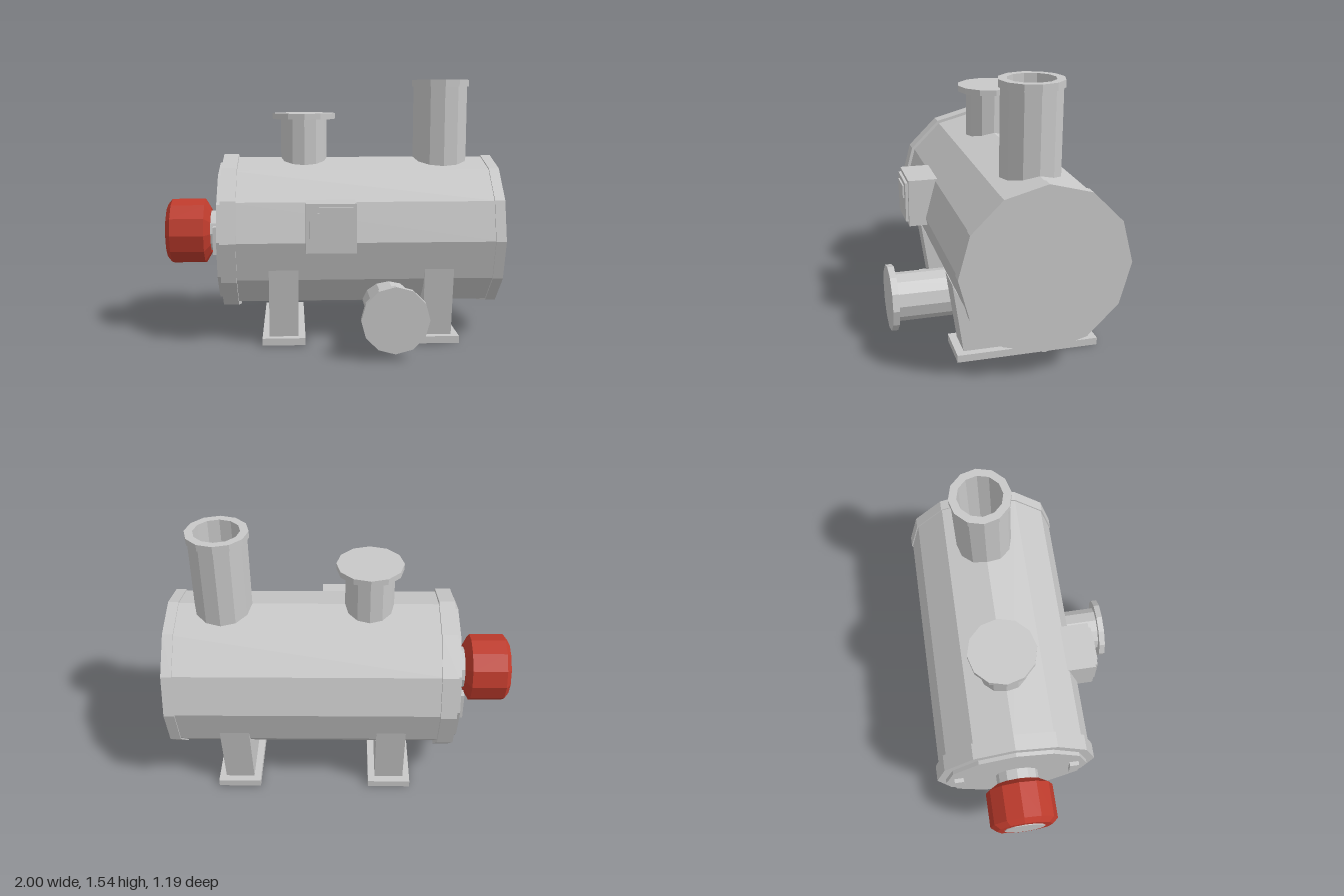
import * as THREE from 'three';

const CY = 0.615, CZ = -0.12, SIDES = 12;

export function createModel() {
  const model = new THREE.Group();
  model.name = 'boiler';
  const grey = new THREE.MeshStandardMaterial({ color: 0xc8c8c8, flatShading: true });
  grey.name = 'light grey';
  const red = new THREE.MeshStandardMaterial({ color: 0xbe3b2c, flatShading: true });
  red.name = 'burner red';

  const add = (name, geometry, material = grey) => {
    const mesh = new THREE.Mesh(geometry, material);
    mesh.name = name;
    model.add(mesh);
    return mesh;
  };
  // Box given by its limits on each axis
  const box = (name, x0, x1, y0, y1, z0, z1) =>
    add(name, new THREE.BoxGeometry(x1 - x0, y1 - y0, z1 - z0)
      .translate((x0 + x1) / 2, (y0 + y1) / 2, (z0 + z1) / 2));
  // Cylinders along each axis
  const cylX = (name, r, x0, x1) =>
    add(name, new THREE.CylinderGeometry(r, r, x1 - x0, SIDES)
      .rotateZ(Math.PI / 2).translate((x0 + x1) / 2, CY, CZ));
  const cylY = (name, r, x, y0, y1) =>
    add(name, new THREE.CylinderGeometry(r, r, y1 - y0, SIDES).translate(x, (y0 + y1) / 2, CZ));
  const cylZ = (name, r, x, y, z0, z1) =>
    add(name, new THREE.CylinderGeometry(r, r, z1 - z0, SIDES)
      .rotateX(Math.PI / 2).translate(x, y, (z0 + z1) / 2));
  const lathe = (points) =>
    new THREE.LatheGeometry(points.map(([r, y]) => new THREE.Vector2(r, y)), SIDES);

  // Drum with its end rings and door
  cylX('drum', 0.455, -0.6, 0.97);
  cylX('endRing', 0.463, 0.94, 1);
  cylX('doorFlange', 0.474, -0.645, -0.555);
  cylX('door', 0.423, -0.668, -0.63);
  for (const s of [-1, 1]) {
    const z = CZ + s * 0.342;
    box('doorLatch', -0.692, -0.66, CY - 0.08, CY + 0.08, z - 0.027, z + 0.027);
  }

  // Burner on the door
  cylX('burnerNeck', 0.125, -0.75, -0.66);
  add('burner', lathe([[0, 0.73], [0.14, 0.73], [0.2, 0.765], [0.2, 0.967], [0.165, 0.995], [0, 0.995]])
    .rotateZ(Math.PI / 2).translate(0, CY, CZ), red);
  cylX('burnerCap', 0.12, -1, -0.98);

  // Closed top pipe
  cylY('topPipe', 0.14, -0.157, 0.9, 1.32);
  cylY('topPipeFlange', 0.19, -0.157, 1.305, 1.34);

  // Open chimney with a rim
  add('chimney', lathe([[0.166, 0.9], [0.166, 1.5], [0.176, 1.5], [0.176, 1.54], [0.13, 1.54], [0.13, 0.9]])
    .translate(0.682, 0, CZ));

  // Low front pipe
  cylZ('frontPipe', 0.14, 0.33, 0.23, -0.1, 0.58);
  cylZ('frontPipeFlange', 0.19, 0.33, 0.23, 0.563, 0.6);

  // Saddle supports, cut to the drum's curve, on foot plates
  const saddle = new THREE.Shape();
  const r = 0.453, tip = 0.37;
  saddle.moveTo(-0.36, 0.03);
  saddle.lineTo(0.36, 0.03);
  saddle.absarc(0, CY, r, -tip, -Math.PI + tip, true);
  saddle.closePath();
  for (const x of [-0.285, 0.62]) {
    add('saddleSupport', new THREE.ExtrudeGeometry(saddle, { depth: 0.17, bevelEnabled: false, curveSegments: 16 })
      .translate(0, 0, -0.085).rotateY(Math.PI / 2).translate(x, 0, CZ + 0.004));
    box('footPlate', x - 0.126, x + 0.126, 0, 0.042, -0.521, 0.289);
  }

  // Control box
  box('controlBox', -0.157, 0.128, 0.575, 0.855, 0.15, 0.433);
  box('controlPanel', -0.136, 0.106, 0.598, 0.834, 0.42, 0.449);
  box('controlDisplay', -0.093, 0.065, 0.733, 0.807, 0.44, 0.458);

  return model;
}
